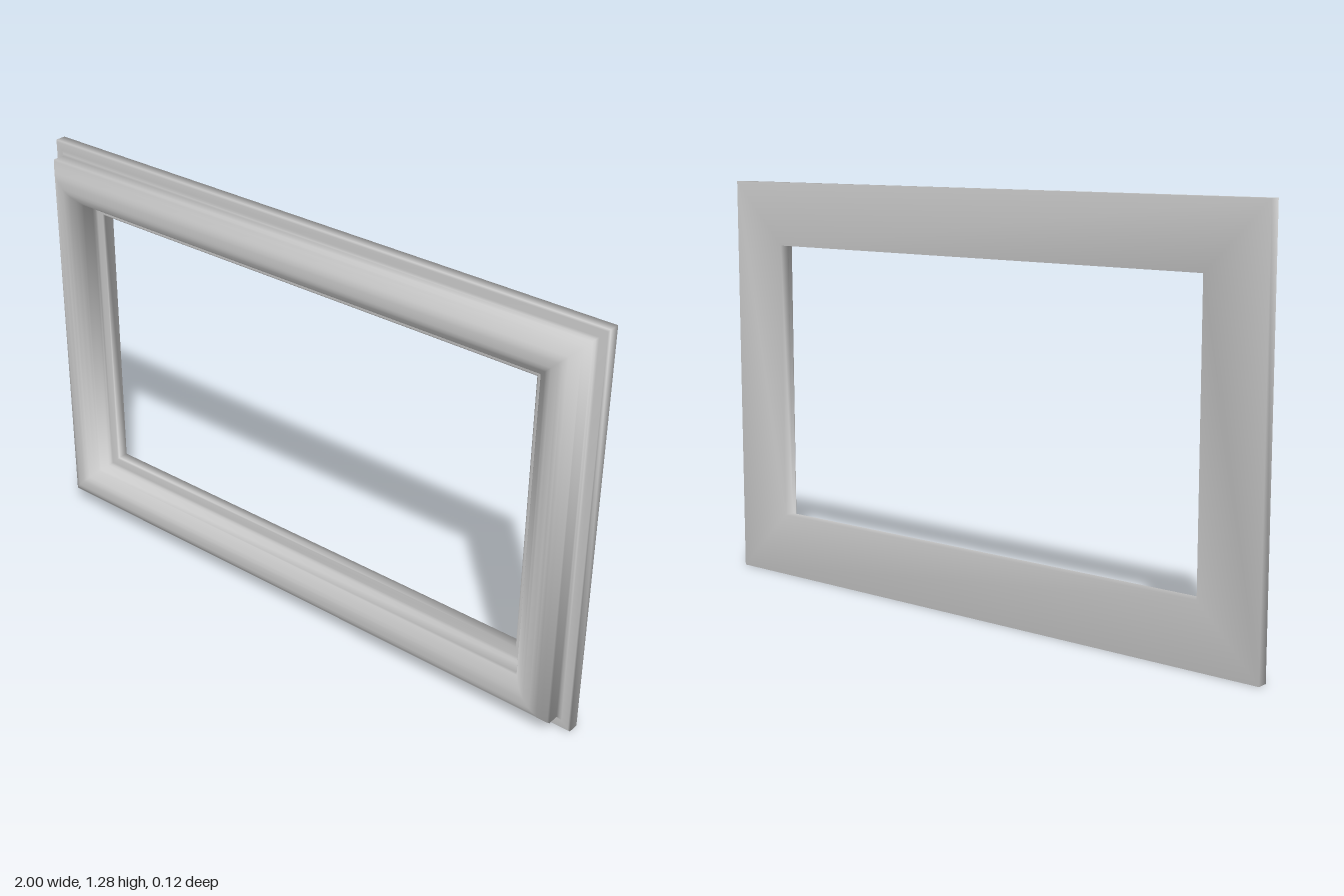
import * as THREE from 'three';

// Half of the moulding section: [inset from the outer edge, z], back to crown
const half = [
  [0, -0.06], [0, -0.026], [0.005, -0.022], [0.028, -0.022], [0.036, -0.019], [0.04, -0.012],
  [0.04, 0.024], [0.044, 0.03], [0.056, 0.041], [0.068, 0.051], [0.078, 0.057], [0.09, 0.06],
];
const WIDTH = 0.2;

// Sweeps a closed section around a rectangle with mitred corners
function mitredFrame(section, halfW, height) {
  const positions = [], indices = [], n = section.length;
  const corners = [[-1, -1], [1, -1], [1, 1], [-1, 1]];
  for (const [sx, sy] of corners) {
    for (const [inset, z] of section) {
      positions.push(sx * (halfW - inset), height / 2 + sy * (height / 2 - inset), z);
    }
  }
  for (let i = 0; i < 4; i++) {
    const p = i * n, q = ((i + 1) % 4) * n;
    for (let j = 0; j < n; j++) {
      const k = (j + 1) % n;
      indices.push(p + j, q + j, q + k, p + j, q + k, p + k);
    }
  }
  const geometry = new THREE.BufferGeometry();
  geometry.setAttribute('position', new THREE.Float32BufferAttribute(positions, 3));
  geometry.setIndex(indices);
  geometry.computeVertexNormals();
  return geometry;
}

export function createModel() {
  const group = new THREE.Group();
  group.name = 'pictureFrame';

  // The section is mirrored about the crown, so both edges carry a flat lip
  const mirrored = half.map(([d, z]) => [WIDTH - d, z]).reverse();
  const frame = new THREE.Mesh(
    mitredFrame([...half, ...mirrored], 1, 1.28),
    new THREE.MeshStandardMaterial({ color: 0xcccccc }),
  );
  frame.name = 'frameMoulding';
  group.add(frame);
  return group;
}
